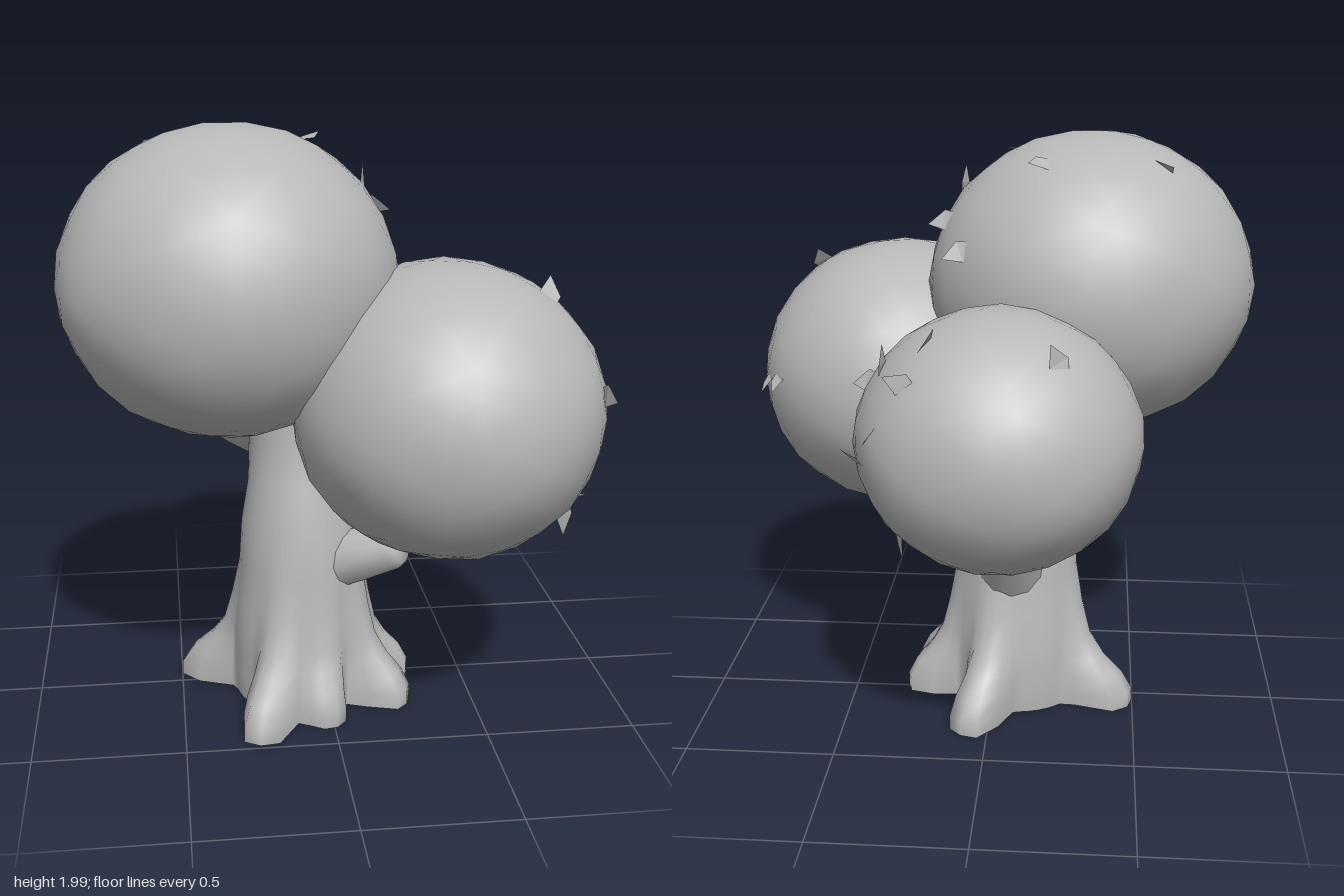
import * as THREE from 'three';
import { mergeVertices } from 'three/addons/utils/BufferGeometryUtils.js';

const grey = new THREE.MeshStandardMaterial({ color: 0xb8b8b8 });
grey.name = 'plain grey';
const greyLeaf = grey;
grey.side = THREE.DoubleSide;

function add(parent, name, geometry, material = grey) {
  const mesh = new THREE.Mesh(geometry, material);
  mesh.name = name;
  parent.add(mesh);
  return mesh;
}

function smooth(geometry) {
  geometry.deleteAttribute('normal');
  geometry.deleteAttribute('uv');
  const merged = mergeVertices(geometry, 1e-4);
  merged.computeVertexNormals();
  return merged;
}

// Slightly uneven leaf ball
function crownGeometry(radii, seed) {
  const g = new THREE.IcosahedronGeometry(1, 4);
  const p = g.attributes.position;
  const v = new THREE.Vector3();
  for (let i = 0; i < p.count; i++) {
    v.fromBufferAttribute(p, i);
    const bump = 1 + 0.007 * Math.sin(v.x * 7 + seed) * Math.sin(v.y * 8 + seed * 2)
      + 0.006 * Math.sin(v.z * 9 + v.x * 4 + seed);
    v.multiplyScalar(bump).multiply(radii);
    p.setXYZ(i, v.x, v.y, v.z);
  }
  return smooth(g);
}

// Folded leaf flake, lying in xy with its tip raised along z
function leafGeometry() {
  const g = new THREE.BufferGeometry();
  g.setAttribute('position', new THREE.Float32BufferAttribute([
    -0.05, -0.02, -0.01, 0.01, -0.035, 0.012, 0.0, 0.035, -0.005,
    0.01, -0.035, 0.012, 0.06, 0.02, 0.03, 0.0, 0.035, -0.005], 3));
  g.computeVertexNormals();
  return g;
}

// Trunk with a ring of root lobes that fade upwards
function trunkGeometry() {
  // y, centre x, centre z, radius, root strength
  const rings = [
    [0.01, -0.08, 0.06, 0.23, 1], [0.06, -0.08, 0.06, 0.235, 0.97], [0.12, -0.08, 0.06, 0.235, 0.78],
    [0.18, -0.08, 0.06, 0.235, 0.45], [0.25, -0.08, 0.065, 0.235, 0.2], [0.36, -0.08, 0.07, 0.225, 0.1],
    [0.5, -0.08, 0.075, 0.21, 0.03], [0.65, -0.085, 0.08, 0.2, 0], [0.8, -0.1, 0.08, 0.16, 0],
    [0.95, -0.12, 0.08, 0.135, 0], [1.12, -0.14, 0.09, 0.14, 0]];
  const tips = [[0.31, 0], [0.08, -0.35], [-0.49, -0.09], [-0.27, 0.48], [-0.01, 0.4], [0.27, 0.26]];
  const roots = tips.map(([x, z]) => [Math.atan2(z - 0.06, x + 0.08), Math.hypot(x + 0.08, z - 0.06) - 0.23]);
  const n = 48, pos = [], idx = [];
  for (const [y, cx, cz, r, strength] of rings) {
    for (let i = 0; i < n; i++) {
      const a = (i / n) * Math.PI * 2;
      let rad = r;
      for (const [angle, length] of roots) {
        const d = Math.atan2(Math.sin(a - angle), Math.cos(a - angle));
        rad += strength * length * Math.exp(-Math.pow(d / 0.27, 4));
      }
      pos.push(cx + rad * Math.cos(a), y, cz + rad * Math.sin(a));
    }
  }
  for (let j = 0; j < rings.length - 1; j++) {
    for (let i = 0; i < n; i++) {
      const a = j * n + i, b = j * n + (i + 1) % n;
      idx.push(a, a + n, b, b, a + n, b + n);
    }
  }
  // Separate underside keeps the ground edge sharp
  const base = pos.length / 3;
  pos.push(...pos.slice(0, n * 3), -0.08, 0.01, 0.06);
  for (let i = 0; i < n; i++) idx.push(base + n, base + i, base + (i + 1) % n);
  const g = new THREE.BufferGeometry();
  g.setAttribute('position', new THREE.Float32BufferAttribute(pos, 3));
  g.setIndex(idx);
  g.computeVertexNormals();
  return g;
}

// Tapered limb between two points, with a rounded end
function limb(parent, name, from, to, r0, r1) {
  const a = new THREE.Vector3(...from), b = new THREE.Vector3(...to);
  const len = a.distanceTo(b);
  const profile = [[r0, 0], [(r0 + r1) / 2, len / 2], [r1, len - r1 * 0.6], [r1 * 0.75, len - r1 * 0.15], [0, len]]
    .map(([x, y]) => new THREE.Vector2(x, y));
  const mesh = add(parent, name, new THREE.LatheGeometry(profile, 12));
  mesh.position.copy(a);
  mesh.quaternion.setFromUnitVectors(new THREE.Vector3(0, 1, 0), b.sub(a).normalize());
}

export function createModel() {
  const tree = new THREE.Group();
  tree.name = 'tree';

  add(tree, 'trunk', trunkGeometry());
  limb(tree, 'branchStub', [-0.03, 0.5, 0.12], [0.24, 0.62, 0.3], 0.11, 0.075);
  limb(tree, 'backBranch', [-0.07, 0.42, 0.02], [-0.06, 0.95, -0.36], 0.13, 0.08);

  // Centre, radii and leaf directions of each leaf ball
  const crowns = [
    { name: 'topCrown', at: [-0.32, 1.5, 0.155], radii: [0.55, 0.5, 0.545],
      leaves: [[0.5, 0.95, -0.1], [0.8, 0.65, 0.05], [0.9, 0.45, -0.25], [0.3, 0.9, -0.5], [-0.4, 0.8, -0.4], [0.75, 0.3, -0.6]] },
    { name: 'frontCrown', at: [0.36, 1.115, 0.365], radii: [0.5, 0.475, 0.535],
      leaves: [[0.6, 0.8, 0.15], [0.95, 0.2, 0.45], [0.9, 0.05, -0.5], [0.75, -0.6, 0.1], [0.7, -0.65, 0.4], [0.8, 0.1, -0.65]] },
    { name: 'backCrown', at: [-0.05, 1.115, -0.45], radii: [0.45, 0.415, 0.45],
      leaves: [[0.75, 0.6, -0.2], [0.6, 0.6, -0.6], [0.8, 0.2, -0.55], [0.9, -0.05, -0.4], [0.6, -0.6, -0.4],
        [-0.4, 0.7, -0.5], [0.45, 0.8, -0.35], [0.85, 0.4, 0.05]] }];

  crowns.forEach(({ name, at, radii, leaves }, k) => {
    const group = new THREE.Group();
    group.name = name;
    group.position.set(...at);
    tree.add(group);
    const size = new THREE.Vector3(...radii);
    add(group, 'leafBall', crownGeometry(size, k * 2 + 1));
    leaves.forEach((d, i) => {
      const dir = new THREE.Vector3(...d).normalize();
      const leaf = add(group, 'leaf', leafGeometry(), greyLeaf);
      leaf.position.copy(dir).multiply(size);
      leaf.quaternion.setFromUnitVectors(new THREE.Vector3(0, 0, 1), dir);
      leaf.rotateZ(i * 2.1 + k);
      leaf.rotateY(-0.25);
    });
  });
  return tree;
}
